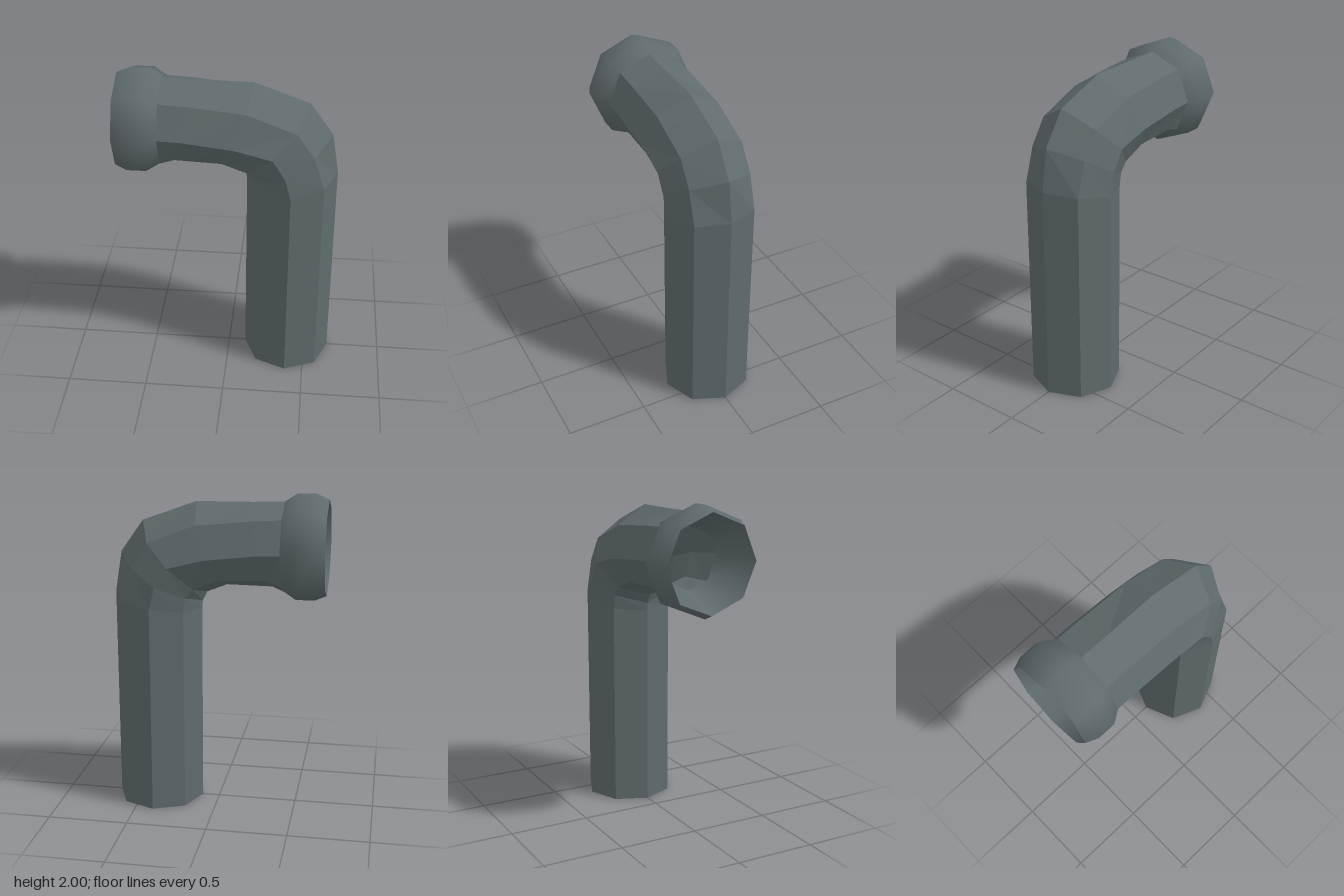
import * as THREE from 'three';

// Open eight-sided skin through rings; each ring lists [x, y] from the outer to the inner side of the bend
function octagonTube(rings, radius) {
  const z = [0, radius * Math.SQRT1_2, radius, radius * Math.SQRT1_2, 0];
  const point = (i, k) => {
    const j = k % 8;
    return j <= 4 ? [...rings[i][j], z[j]] : [...rings[i][8 - j], -z[8 - j]];
  };
  const pos = [];
  for (let i = 0; i < rings.length - 1; i++) {
    for (let k = 0; k < 8; k++) {
      const a = point(i, k), b = point(i, k + 1), c = point(i + 1, k + 1), d = point(i + 1, k);
      pos.push(...a, ...b, ...d, ...b, ...c, ...d);
    }
  }
  const geo = new THREE.BufferGeometry();
  geo.setAttribute('position', new THREE.Float32BufferAttribute(pos, 3));
  geo.computeVertexNormals();
  return geo;
}

export function createModel() {
  const group = new THREE.Group();
  group.name = 'bentPipe';
  const metal = new THREE.MeshStandardMaterial({ color: 0x5f6b6d, side: THREE.DoubleSide });
  metal.name = 'greyMetal';

  const add = (name, geo) => {
    const mesh = new THREE.Mesh(geo, metal);
    mesh.name = name;
    group.add(mesh);
    return mesh;
  };

  // Pipe: horizontal arm, elbow, then upright, open at both ends
  add('pipe', octagonTube([
    [[-0.4, 1.949], [-0.4, 1.868], [-0.4, 1.672], [-0.4, 1.476], [-0.4, 1.395]],
    [[-0.2, 1.942], [-0.22, 1.857], [-0.265, 1.667], [-0.31, 1.505], [-0.33, 1.425]],
    [[0.14, 1.938], [0.115, 1.822], [0.05, 1.63], [-0.03, 1.493], [-0.05, 1.428]],
    [[0.477, 1.815], [0.41, 1.708], [0.275, 1.572], [0.13, 1.432], [0.075, 1.378]],
    [[0.618, 1.615], [0.515, 1.555], [0.35, 1.45], [0.175, 1.375], [0.104, 1.32]],
    [[0.66, 1.36], [0.58, 1.345], [0.385, 1.313], [0.19, 1.285], [0.108, 1.272]],
    [[0.66, 0], [0.58, 0], [0.385, 0], [0.19, 0], [0.108, 0]],
  ], 0.277));

  // Flared collar: rounded outer band and a funnel inside; profiles are [radius, distance towards -x]
  const collar = (name, profile) => {
    const geo = new THREE.LatheGeometry(profile.map(([r, h]) => new THREE.Vector2(r, h)), 8);
    geo.rotateZ(Math.PI / 2).translate(0, 1.673, 0);
    add(name, geo);
  };
  collar('collarBand', [[0.277, 0.4], [0.327, 0.475], [0.327, 0.59], [0.295, 0.665]]);
  collar('collarFunnel', [[0.295, 0.665], [0.19, 0.4]]);

  return group;
}
